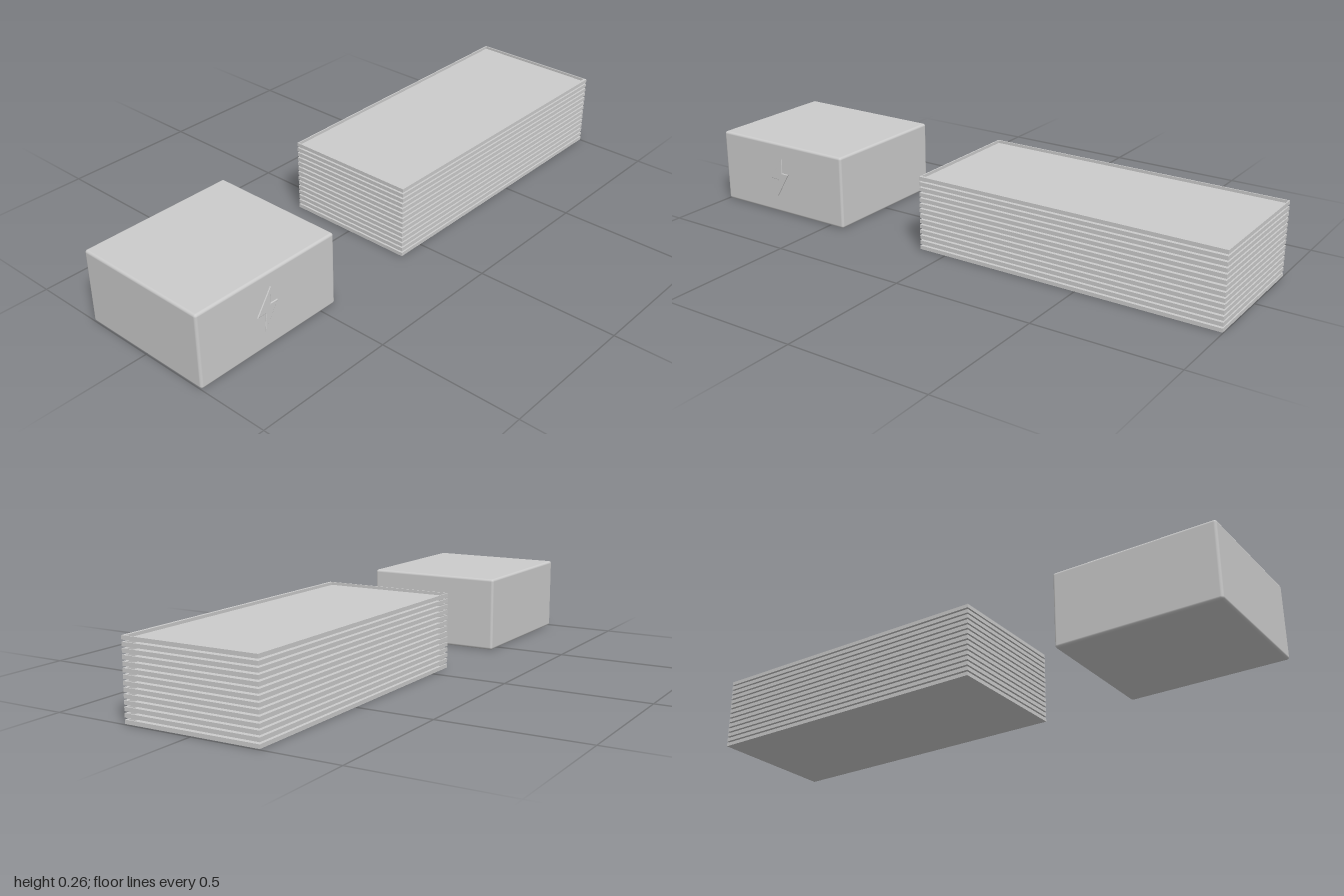
import * as THREE from 'three';
import { RoundedBoxGeometry } from 'three/addons/geometries/RoundedBoxGeometry.js';

const grey = new THREE.MeshStandardMaterial({ color: 0xcccccc });

function box(name, w, h, d, x, y, z) {
  const mesh = new THREE.Mesh(new THREE.BoxGeometry(w, h, d), grey);
  mesh.name = name;
  mesh.position.set(x, y, z);
  return mesh;
}

// Battery case with a raised bolt on its front
function createBattery() {
  const battery = new THREE.Group();
  battery.name = 'battery';

  const body = new THREE.Mesh(new RoundedBoxGeometry(0.562, 0.264, 0.497, 3, 0.009), grey);
  body.name = 'batteryCase';
  body.position.set(-0.719, 0.132, -0.0015);
  battery.add(body);

  const outline = [
    [-0.716, 0.209], [-0.769, 0.129], [-0.734, 0.129],
    [-0.742, 0.066], [-0.691, 0.151], [-0.721, 0.151],
  ].map(([x, y]) => new THREE.Vector2(x, y));
  const bolt = new THREE.Mesh(new THREE.ExtrudeGeometry(new THREE.Shape(outline), {
    depth: 0.004, bevelEnabled: true, bevelThickness: 0.002, bevelSize: 0.003, bevelSegments: 2,
  }), grey);
  bolt.name = 'boltEmblem';
  bolt.position.z = 0.2445;
  battery.add(bolt);
  return battery;
}

// One shallow framed panel: thin plate with a raised rim
function createPanel() {
  const panel = new THREE.Group();
  panel.name = 'panel';
  const w = 1.1, h = 0.013, d = 0.478, rim = 0.004, front = 0.01;
  panel.add(box('plate', w - 2 * rim, 0.003, d - rim - front, 0, 0.0015, (rim - front) / 2));
  panel.add(box('frontRim', w, h, front, 0, h / 2, (d - front) / 2));
  panel.add(box('backRim', w, h, rim, 0, h / 2, -(d - rim) / 2));
  for (const side of [-1, 1]) {
    panel.add(box(side > 0 ? 'leftRim' : 'rightRim', rim, h, d - rim - front,
      side * (w - rim) / 2, h / 2, (rim - front) / 2));
  }
  return panel;
}

export function createModel() {
  const model = new THREE.Group();
  model.name = 'batteryAndPanels';
  model.add(createBattery());

  // Stack of evenly spaced panels
  const stack = new THREE.Group();
  stack.name = 'panelStack';
  for (let i = 0; i < 14; i++) {
    const panel = createPanel();
    panel.position.set(0.45, 0.0025 + i * 0.0191, 0.001);
    stack.add(panel);
  }
  model.add(stack);
  return model;
}
